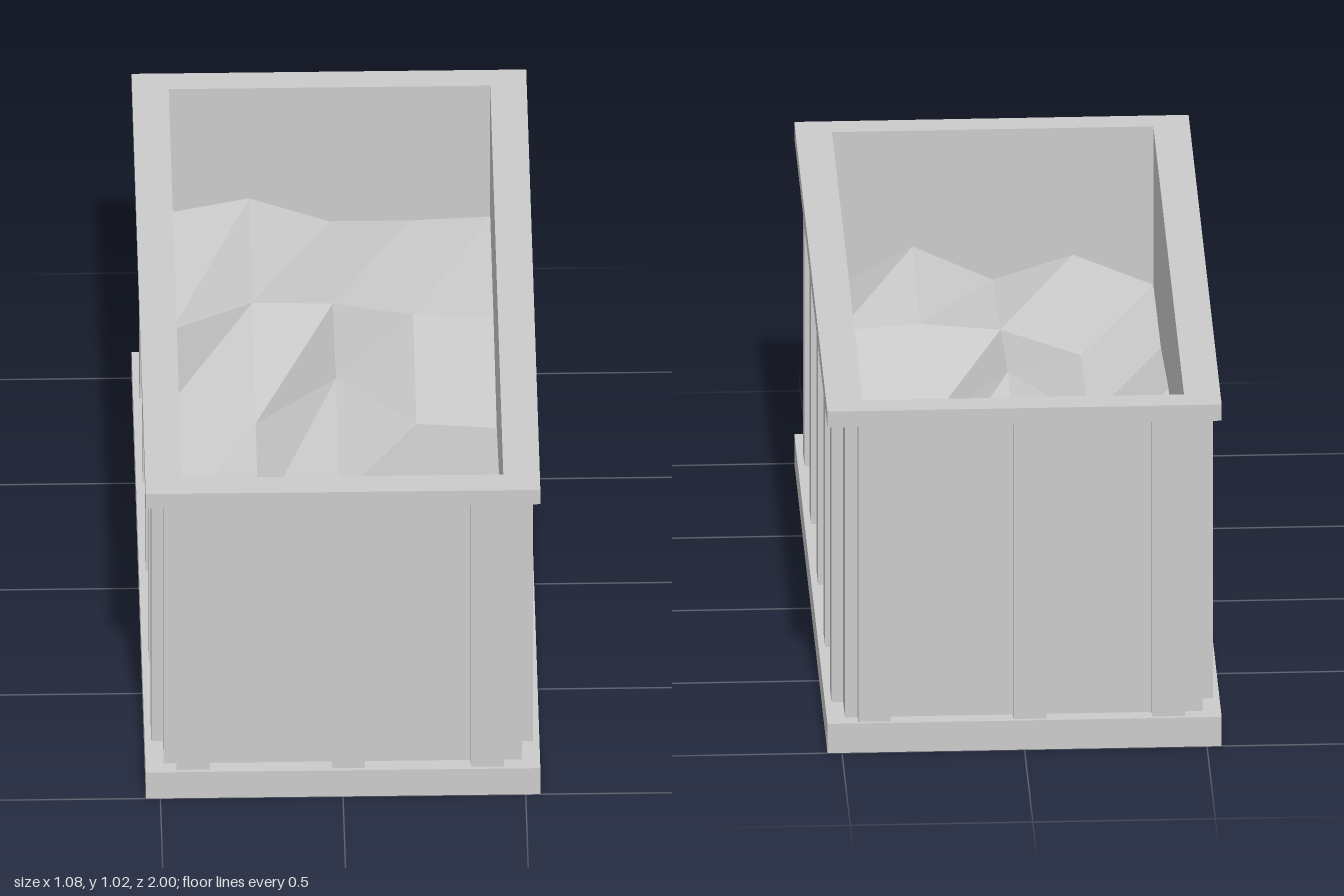
import * as THREE from 'three';

const material = new THREE.MeshStandardMaterial({ color: 0xcccccc, flatShading: true, side: THREE.DoubleSide });

const W = 0.54, L = 1;            // half size of rim and base
const IN_X = 0.44, IN_Z = 0.925;  // half size of the opening
const WALL_X = 0.49, WALL_Z = 0.957, RIB = 0.032;
const BASE_Y = 0.087, RIM_Y = 0.97, TOP_Y = 1.018;

// Heap heights, rows from back to front, columns from -x to +x
const HEAP = [
  [0.605, 0.65, 0.57, 0.57, 0.58],
  [0.538, 0.626, 0.62, 0.58, 0.57],
  [0.635, 0.547, 0.695, 0.54, 0.523],
  [0.557, 0.54, 0.62, 0.642, 0.626],
  [0.546, 0.64, 0.57, 0.673, 0.55],
];

const rectangle = (w, l) => [[-w, l], [w, l], [w, -l], [-w, -l]];

// Wall outline in (x, z) with ribs standing out; the second half is the first turned by 180 degrees
function wallOutline() {
  const half = [[-WALL_X, WALL_Z]];
  for (const x of [-0.455, -0.03, 0.35]) {
    half.push([x, WALL_Z], [x, WALL_Z + RIB], [x + 0.09, WALL_Z + RIB], [x + 0.09, WALL_Z]);
  }
  half.push([WALL_X, WALL_Z]);
  for (const z of [0.87, 0.47, 0.05, -0.38, -0.76]) {
    half.push([WALL_X, z], [WALL_X + RIB, z], [WALL_X + RIB, z - 0.09], [WALL_X, z - 0.09]);
  }
  return [...half, ...half.map(([x, z]) => [-x, -z])];
}

// Upright sheet along a closed outline
function sheet(outline, bottom, top) {
  const pos = [];
  outline.forEach((a, i) => {
    const b = outline[(i + 1) % outline.length];
    const a0 = [a[0], bottom(i), a[1]], a1 = [a[0], top, a[1]];
    const j = (i + 1) % outline.length;
    const b0 = [b[0], bottom(j), b[1]], b1 = [b[0], top, b[1]];
    pos.push(...a0, ...b0, ...b1, ...a0, ...b1, ...a1);
  });
  const geo = new THREE.BufferGeometry();
  geo.setAttribute('position', new THREE.Float32BufferAttribute(pos, 3));
  geo.computeVertexNormals();
  return geo;
}

// Flat ring shape lying in the ground plane
function ring(outer, hole) {
  const points = (list) => list.map(([x, z]) => new THREE.Vector2(x, -z));
  const shape = new THREE.Shape(points(outer));
  shape.holes.push(new THREE.Path(points(hole)));
  return shape;
}

export function createModel() {
  const model = new THREE.Group();
  model.name = 'container';
  const add = (name, geometry) => {
    const mesh = new THREE.Mesh(geometry, material);
    mesh.name = name;
    model.add(mesh);
  };
  const outline = wallOutline();

  // Hollow base: skirt plus a ledge around the walls
  add('baseSkirt', sheet(rectangle(W, L), () => 0, BASE_Y));
  add('baseLedge', new THREE.ShapeGeometry(ring(rectangle(W, L), outline))
    .rotateX(-Math.PI / 2).translate(0, BASE_Y, 0));

  // Ribbed sheet walls
  add('ribbedWalls', sheet(outline, () => BASE_Y, RIM_Y));

  // Top rim
  const rim = ring(rectangle(W, L), rectangle(IN_X, IN_Z));
  add('topRim', new THREE.ExtrudeGeometry(rim, { depth: TOP_Y - RIM_Y, bevelEnabled: false })
    .rotateX(-Math.PI / 2).translate(0, RIM_Y, 0));

  // Uneven heap filling the inside
  const heap = new THREE.PlaneGeometry(2 * IN_X, 2 * IN_Z, 4, 4).rotateX(-Math.PI / 2);
  const p = heap.attributes.position;
  HEAP.flat().forEach((y, i) => p.setY(i, y));
  heap.computeVertexNormals();
  add('heap', heap);

  // Inner lining, from the rim down to the edge of the heap
  const edge = [];
  for (let i = 0; i < 4; i++) edge.push(i);
  for (let i = 0; i < 4; i++) edge.push(4 + 5 * i);
  for (let i = 0; i < 4; i++) edge.push(24 - i);
  for (let i = 0; i < 4; i++) edge.push(20 - 5 * i);
  add('innerLining', sheet(edge.map((k) => [p.getX(k), p.getZ(k)]), (i) => p.getY(edge[i]), RIM_Y));

  return model;
}
